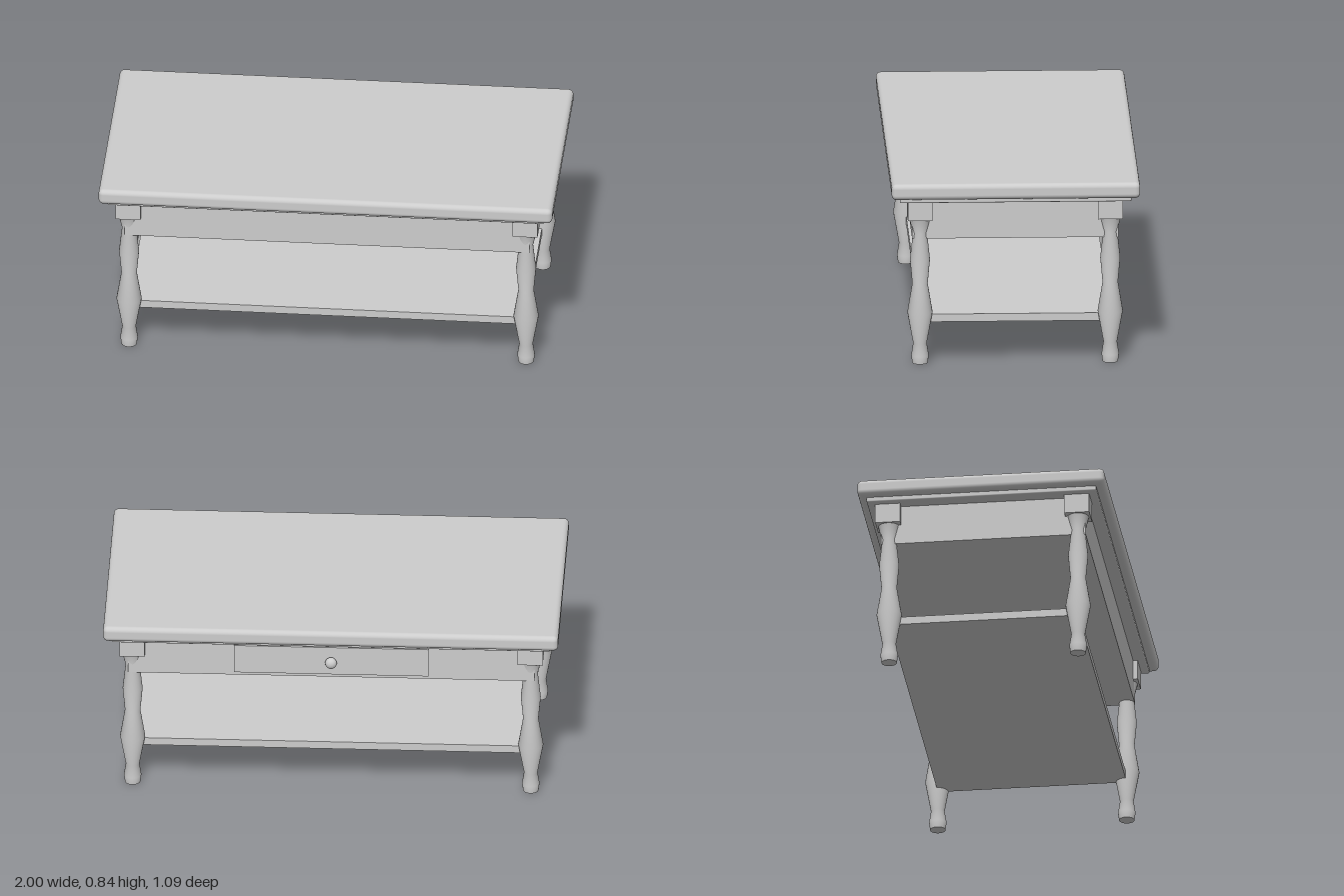
import * as THREE from 'three';
import { RoundedBoxGeometry } from 'three/addons/geometries/RoundedBoxGeometry.js';

export function createModel() {
  const table = new THREE.Group();
  table.name = 'coffeeTable';
  const grey = new THREE.MeshStandardMaterial({ color: 0xcccccc });
  grey.name = 'light grey';

  const add = (name, geometry, x, y, z, parent = table) => {
    const mesh = new THREE.Mesh(geometry, grey);
    mesh.name = name;
    mesh.position.set(x, y, z);
    parent.add(mesh);
    return mesh;
  };
  // Box given by its bottom and top heights, optionally with rounded edges
  const slab = (name, w, d, y0, y1, z = 0, r = 0) =>
    add(name, r ? new RoundedBoxGeometry(w, y1 - y0, d, 4, r) : new THREE.BoxGeometry(w, y1 - y0, d),
      0, (y0 + y1) / 2, z);

  // Top, moulding, apron and lower shelf
  slab('tableTop', 2, 1.092, 0.766, 0.837, 0, 0.022);
  slab('topMoulding', 1.924, 1.016, 0.745, 0.768, 0, 0.006);
  slab('apron', 1.786, 0.906, 0.567, 0.747);
  slab('shelf', 1.75, 0.836, 0.184, 0.219);

  // Drawer on the back with a round knob
  slab('drawerFront', 0.856, 0.022, 0.59, 0.724, -0.462);
  const knob = add('drawerKnob', new THREE.SphereGeometry(0.026, 16, 12), 0, 0.657, -0.493);
  knob.scale.z = 0.87;

  // Turned legs with square blocks at the top
  const profile = [
    [0, 0], [0.034, 0], [0.0385, 0.035], [0.03, 0.09], [0.0555, 0.23], [0.034, 0.36],
    [0.044, 0.47], [0.031, 0.59], [0.048, 0.658],
  ];
  // Split at the foot so its rim stays sharp
  const points = profile.map(([r, y]) => new THREE.Vector2(r, y));
  const turning = new THREE.LatheGeometry(points.slice(1), 24);
  const sole = new THREE.CircleGeometry(0.034, 24).rotateX(Math.PI / 2);
  const block = new THREE.BoxGeometry(0.11, 0.09, 0.11);
  for (const [sx, xName] of [[1, 'Left'], [-1, 'Right']]) {
    for (const [sz, zName] of [[1, 'front'], [-1, 'back']]) {
      const leg = new THREE.Group();
      leg.name = zName + xName + 'Leg';
      leg.position.set(sx * 0.875, 0, sz * 0.418);
      add('legTurning', turning, 0, 0, 0, leg);
      add('legSole', sole, 0, 0, 0, leg);
      add('legBlock', block, 0, 0.702, 0, leg);
      table.add(leg);
    }
  }
  return table;
}
